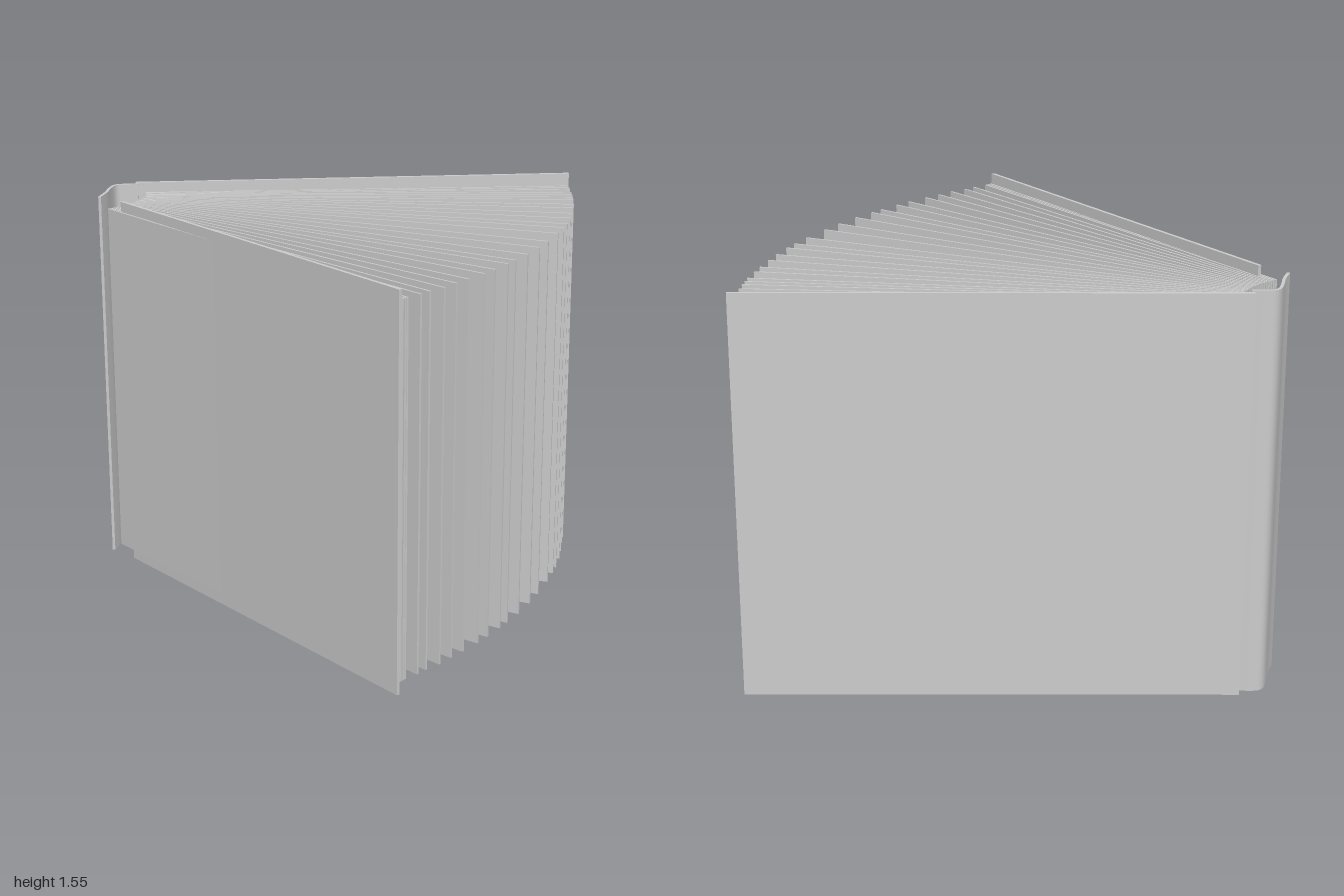
import * as THREE from 'three';
import { toCreasedNormals } from 'three/addons/utils/BufferGeometryUtils.js';

const HEIGHT = 1.555;      // covers and spine
const PAGE_BOTTOM = 0.045;
const PAGE_HEIGHT = 1.47;

// free edges of the pages (x, z), from the back cover to the front cover
const PAGE_ENDS = [
  [0.978, -0.75], [0.98, -0.717], [0.975, -0.683], [0.97, -0.636], [0.962, -0.583],
  [0.955, -0.545], [0.948, -0.503], [0.93, -0.42], [0.913, -0.36], [0.888, -0.27],
  [0.863, -0.192], [0.829, -0.1], [0.803, -0.043], [0.76, 0.043], [0.696, 0.16],
  [0.643, 0.246], [0.578, 0.34], [0.516, 0.417], [0.478, 0.463], [0.415, 0.535],
  [0.366, 0.586], [0.297, 0.652], [0.243, 0.7], [0.19, 0.75], [0.132, 0.79],
  [0.094, 0.823], [0.041, 0.858], [0.032, 0.868], [0.021, 0.876],
];

// upright sheet whose centre line runs from a to b in plan
function sheet(name, a, b, thickness, bottom, height, material) {
  const dx = b[0] - a[0], dz = b[1] - a[1];
  const mesh = new THREE.Mesh(new THREE.BoxGeometry(Math.hypot(dx, dz), height, thickness), material);
  mesh.position.set((a[0] + b[0]) / 2, bottom + height / 2, (a[1] + b[1]) / 2);
  mesh.rotation.y = Math.atan2(-dz, dx);
  mesh.name = name;
  return mesh;
}

// curved strip: a plan curve thickened both ways and extruded upwards
function curvedStrip(points, thickness, height) {
  const curve = new THREE.SplineCurve(points.map(([x, z]) => new THREE.Vector2(x, -z)));
  const left = [], right = [];
  const steps = 32;
  for (let i = 0; i <= steps; i++) {
    const p = curve.getPointAt(i / steps), t = curve.getTangentAt(i / steps);
    const n = new THREE.Vector2(-t.y, t.x).multiplyScalar(thickness / 2);
    left.push(p.clone().add(n));
    right.unshift(p.clone().sub(n));
  }
  const geometry = new THREE.ExtrudeGeometry(new THREE.Shape([...left, ...right]), {
    depth: height, bevelEnabled: false,
  });
  geometry.rotateX(-Math.PI / 2);
  return toCreasedNormals(geometry, 0.6);
}

export function createModel() {
  const book = new THREE.Group();
  book.name = 'openBook';
  const grey = new THREE.MeshStandardMaterial({ color: 0xcccccc });
  grey.name = 'light grey';

  // covers
  book.add(sheet('backCover', [-0.838, -0.892], [0.998, -0.816], 0.016, 0, HEIGHT, grey));
  book.add(sheet('frontCover', [-0.905, -0.55], [0.01, 0.893], 0.014, 0, HEIGHT, grey));

  // spine
  const spine = new THREE.Mesh(curvedStrip([
    [-0.993, -0.65], [-0.967, -0.72], [-0.947, -0.8], [-0.928, -0.848],
    [-0.898, -0.864], [-0.828, -0.859],
  ], 0.012, HEIGHT), grey);
  spine.name = 'spine';
  book.add(spine);

  // pages fanning out from the curved binding
  const binding = new THREE.SplineCurve([
    [-0.798, -0.872], [-0.8, -0.8], [-0.835, -0.725], [-0.89, -0.655], [-0.958, -0.602],
  ].map(([x, z]) => new THREE.Vector2(x, z)));
  const pages = new THREE.Group();
  pages.name = 'pages';
  PAGE_ENDS.forEach((end, i) => {
    const p = binding.getPointAt(i / (PAGE_ENDS.length - 1));
    pages.add(sheet(`page${i + 1}`, [p.x, p.y], end, 0.008, PAGE_BOTTOM, PAGE_HEIGHT, grey));
  });
  book.add(pages);
  return book;
}
